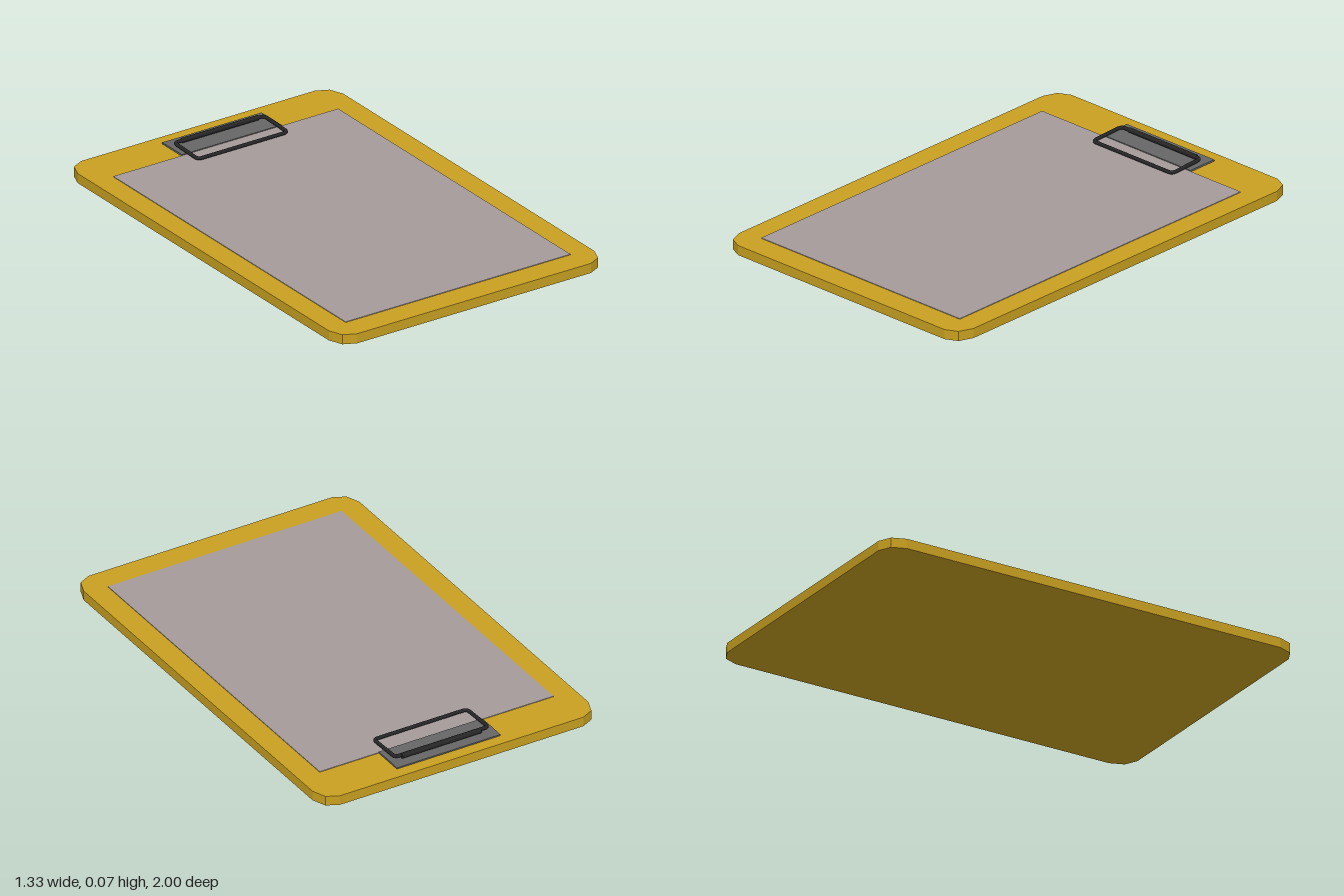
import * as THREE from 'three';

export function createModel() {
  const model = new THREE.Group();
  const material = (name, color) => {
    const m = new THREE.MeshStandardMaterial({ color });
    m.name = name;
    return m;
  };
  const gold = material('goldenBoard', 0xc8a020);
  const grey = material('paperGrey', 0xa59b99);
  const steel = material('clipSteel', 0x666666);
  const dark = material('wireDark', 0x262626);
  const add = (name, geometry, mat) => {
    const mesh = new THREE.Mesh(geometry, mat);
    mesh.name = name;
    model.add(mesh);
    return mesh;
  };

  // Board with faceted corners, mirrored from one corner
  const corner = [[0.667, 0.91], [0.643, 0.973], [0.588, 1]];
  const back = [...corner].reverse();
  const outline = [
    ...corner,
    ...back.map(([x, z]) => [-x, z]),
    ...corner.map(([x, z]) => [-x, -z]),
    ...back.map(([x, z]) => [x, -z]),
  ].map(([x, z]) => new THREE.Vector2(x, z));
  const board = new THREE.ExtrudeGeometry(new THREE.Shape(outline), { depth: 0.044, bevelEnabled: false });
  board.rotateX(-Math.PI / 2);
  add('board', board, gold);

  // Sheet of paper
  const paper = new THREE.BoxGeometry(1.13, 0.004, 1.685);
  paper.translate(0, 0.045, 0.0425);
  add('paper', paper, grey);

  // Clip plate: raised behind the paper, its thin tongue tucked beneath it
  const profile = [[0.945, 0.043], [0.945, 0.05], [0.88, 0.052], [0.8, 0.051], [0.8, 0.045], [0.69, 0.045], [0.69, 0.043]];
  const plate = new THREE.ExtrudeGeometry(
    new THREE.Shape(profile.map(([z, y]) => new THREE.Vector2(z, y))),
    { depth: 0.5, bevelEnabled: false },
  );
  plate.rotateY(Math.PI / 2);
  plate.translate(-0.22, 0, 0);
  add('clipPlate', plate, steel);

  // Wire loop: rounded rectangle, rising towards the hinge
  const height = (z) => 0.058 + (-0.717 - z) * 0.04;
  const point = (x, z) => new THREE.Vector3(x, height(z), z);
  const [x0, x1, z0, z1, r] = [-0.197, 0.254, -0.888, -0.717, 0.02];
  const loop = new THREE.CurvePath();
  const sides = [
    [[x0 + r, z0], [x1 - r, z0], [x1, z0], [x1, z0 + r]],
    [[x1, z0 + r], [x1, z1 - r], [x1, z1], [x1 - r, z1]],
    [[x1 - r, z1], [x0 + r, z1], [x0, z1], [x0, z1 - r]],
    [[x0, z1 - r], [x0, z0 + r], [x0, z0], [x0 + r, z0]],
  ];
  for (const side of sides) {
    const [a, b, c, d] = side.map(([x, z]) => point(x, z));
    loop.add(new THREE.LineCurve3(a, b));
    loop.add(new THREE.QuadraticBezierCurve3(b, c, d));
  }
  add('wireLoop', new THREE.TubeGeometry(loop, 160, 0.008, 8, true), dark);

  // Hinge sleeve around the rear wire
  const sleeve = new THREE.CylinderGeometry(0.011, 0.011, 0.53, 12);
  sleeve.scale(1, 0.72, 1);
  sleeve.rotateZ(Math.PI / 2);
  sleeve.translate(0.035, 0.062, -0.893);
  add('hingeSleeve', sleeve, dark);

  return model;
}
